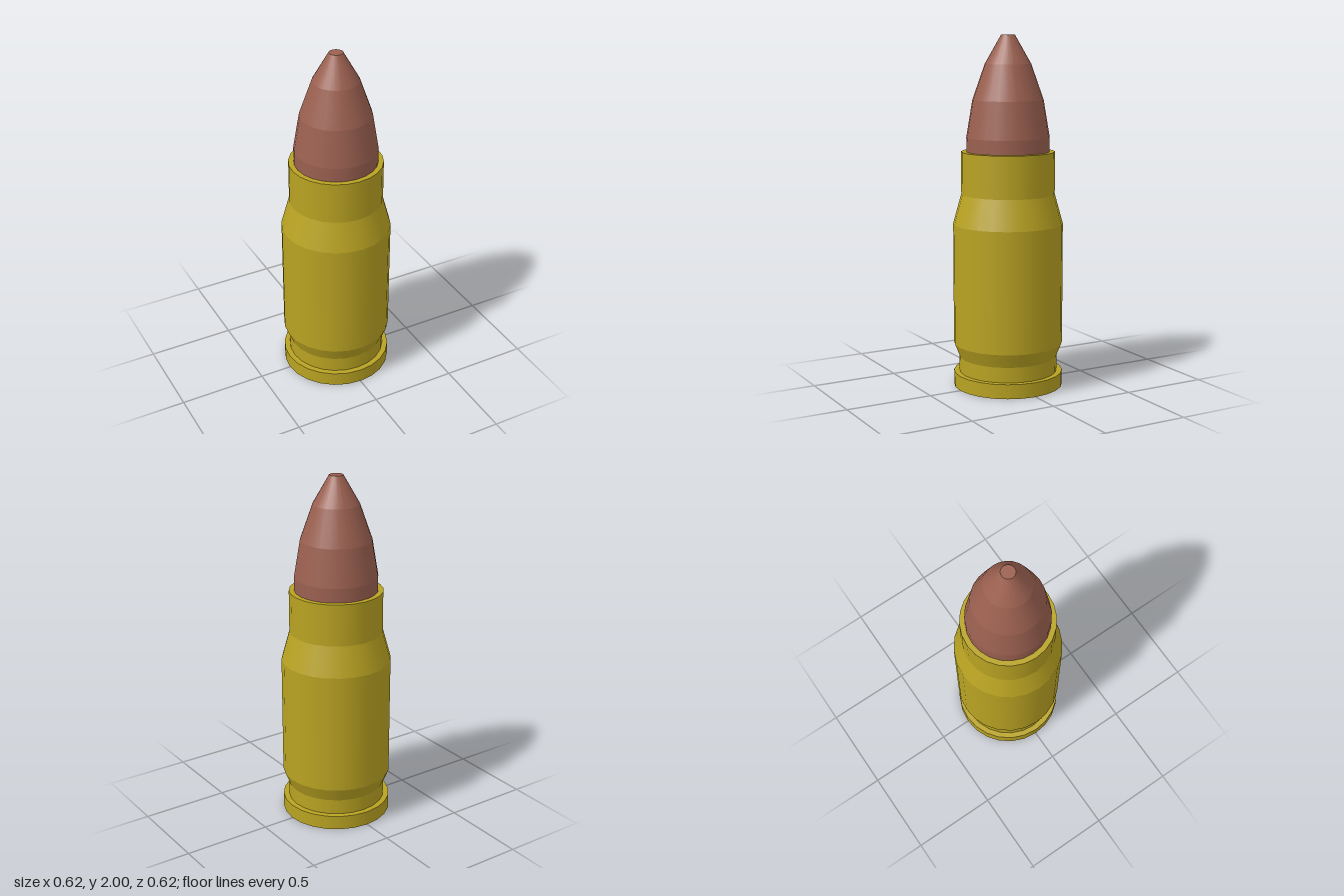
import * as THREE from 'three';
import { mergeGeometries } from 'three/addons/utils/BufferGeometryUtils.js';

const SIDES = 24;

// Turned part: each profile step is its own band, so edges stay sharp
// while the shading runs smoothly around the axis.
function turned(name, color, profile) {
  const bands = [];
  for (let i = 0; i < profile.length - 1; i++) {
    const pair = [profile[i], profile[i + 1]].map(([r, y]) => new THREE.Vector2(r, y));
    bands.push(new THREE.LatheGeometry(pair, SIDES));
  }
  const mesh = new THREE.Mesh(
    mergeGeometries(bands),
    new THREE.MeshStandardMaterial({ color })
  );
  mesh.name = name;
  return mesh;
}

export function createModel() {
  const group = new THREE.Group();
  group.name = 'cartridge';

  // Brass case: base ring, rim, extractor groove, body, shoulder, neck and mouth
  group.add(turned('case', 0xb9a322, [
    [0.148, 0], [0.312, 0], [0.312, 0.083], [0.28, 0.083], [0.28, 0.17],
    [0.312, 0.25], [0.312, 0.94], [0.265, 1.11], [0.265, 1.35], [0.235, 1.35],
  ]));

  // Copper tip with a small flat nose
  group.add(turned('bullet', 0x9b6050, [
    [0.235, 1.35], [0.235, 1.43], [0.2, 1.64], [0.13, 1.84], [0.039, 2], [0, 2],
  ]));

  // Primer disc set flush in the base
  group.add(turned('primer', 0x222222, [[0, 0], [0.148, 0]]));

  return group;
}
